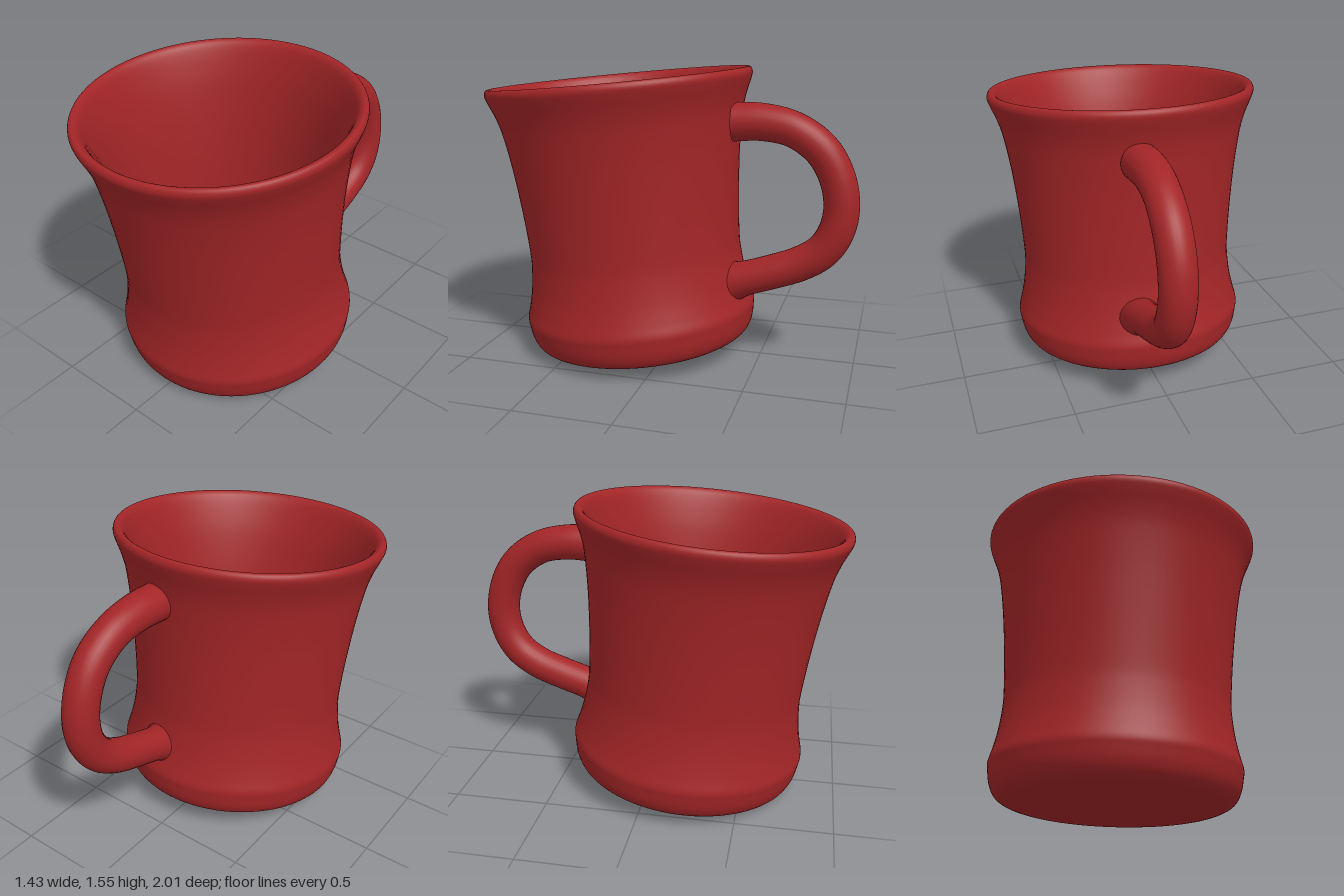
import * as THREE from 'three';

const V2 = (p) => new THREE.Vector2(p[0], p[1]);

export function createModel() {
  const group = new THREE.Group();
  group.name = 'mug';
  const glaze = new THREE.MeshStandardMaterial({ color: 0xa32527 });
  glaze.name = 'red glaze';

  // Cup: underside, flared outer wall, rounded lip, inner wall and floor
  const profile = new THREE.SplineCurve([
    [0.001, 0], [0.25, 0], [0.46, 0], [0.535, 0.008], [0.59, 0.035], [0.618, 0.085],
    [0.63, 0.15], [0.633, 0.19], [0.617, 0.25], [0.597, 0.34], [0.583, 0.45], [0.58, 0.55],
    [0.592, 0.76], [0.615, 1.0], [0.645, 1.2], [0.672, 1.3], [0.702, 1.375],
    [0.714, 1.415], [0.703, 1.441], [0.68, 1.44], [0.655, 1.41],
    [0.62, 1.32], [0.585, 1.2], [0.545, 1.0], [0.512, 0.76], [0.49, 0.52], [0.492, 0.36],
    [0.505, 0.22], [0.485, 0.15], [0.42, 0.12], [0.25, 0.115], [0.001, 0.115],
  ].map(V2));
  const points = profile.getPoints(124);
  points[0].x = points[points.length - 1].x = 0;
  const cup = new THREE.Mesh(new THREE.LatheGeometry(points, 80), glaze);
  cup.name = 'cup';
  cup.position.set(0, 0.048, 0.166);
  cup.rotation.x = 0.094; // the whole cup leans forwards
  group.add(cup);

  // Handle: curved tube set a little to one side
  const path = new THREE.CatmullRomCurve3([
    [0.1, 1.28, -0.35], [0.1, 1.283, -0.5], [0.105, 1.25, -0.66], [0.11, 1.155, -0.8],
    [0.11, 1.02, -0.88], [0.11, 0.87, -0.908], [0.11, 0.74, -0.885], [0.105, 0.635, -0.82],
    [0.1, 0.56, -0.71], [0.1, 0.505, -0.57], [0.1, 0.455, -0.42], [0.1, 0.43, -0.34],
  ].map((p) => new THREE.Vector3(...p)));
  const steps = 72, sides = 28;
  const tube = new THREE.TubeGeometry(path, steps, 1, sides);
  const radiusAt = (t) => 0.09 + 0.01 * Math.max(0, 1 - t * 5) + 0.035 * Math.max(0, (t - 0.9) * 10) ** 3;
  const pos = tube.attributes.position, v = new THREE.Vector3();
  for (let i = 0; i < pos.count; i++) {
    const t = Math.floor(i / (sides + 1)) / steps;
    const c = path.getPointAt(t);
    v.fromBufferAttribute(pos, i).sub(c).multiplyScalar(radiusAt(t)).add(c);
    pos.setXYZ(i, v.x, v.y, v.z);
  }
  const handle = new THREE.Mesh(tube, glaze);
  handle.name = 'handle';
  group.add(handle);

  // Flat end of the handle at the upper joint
  const end = new THREE.Mesh(new THREE.CircleGeometry(radiusAt(0), sides), glaze);
  end.name = 'handleEnd';
  end.position.copy(path.getPointAt(0));
  end.lookAt(end.position.clone().sub(path.getTangentAt(0)));
  group.add(end);

  return group;
}
